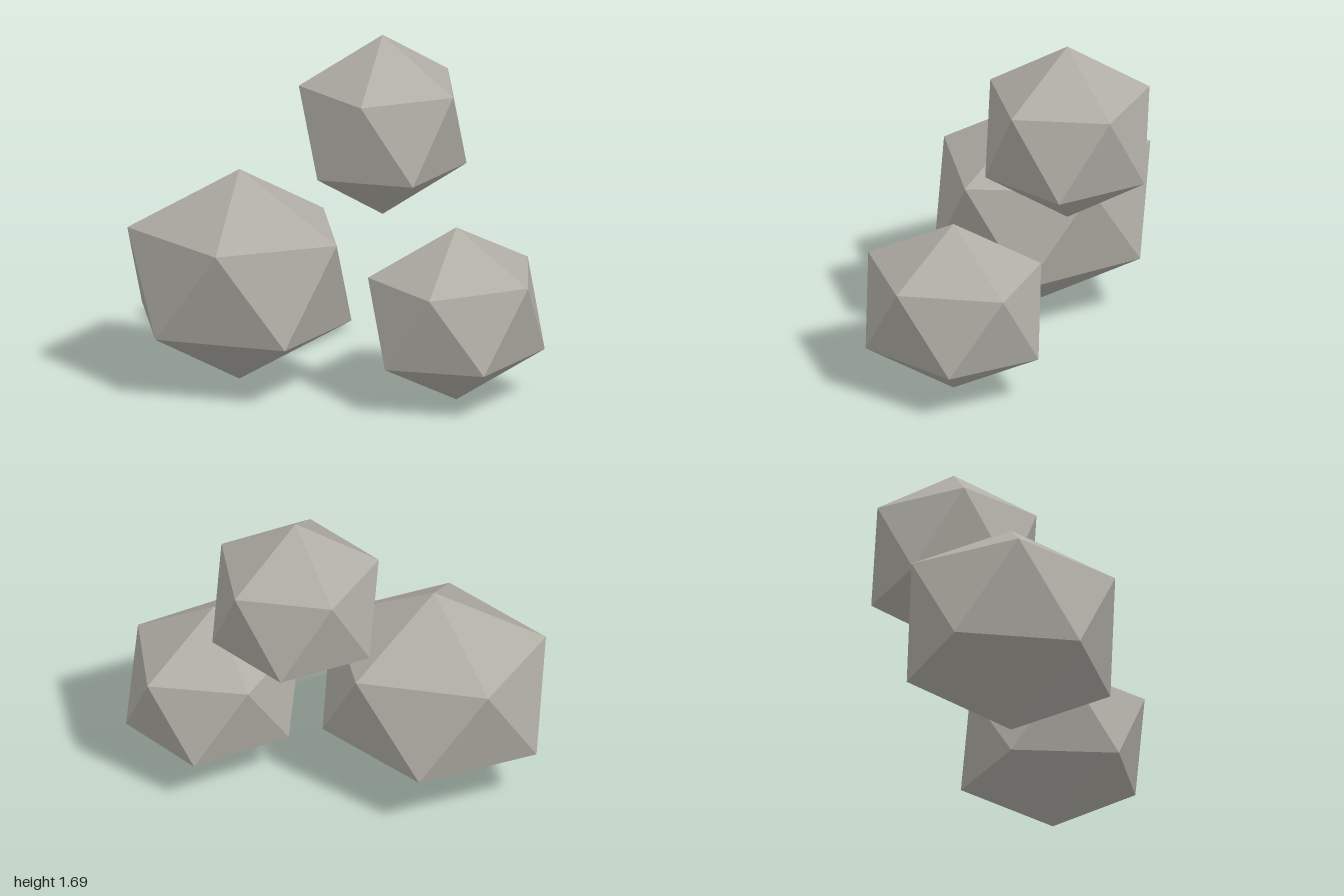
import * as THREE from 'three';

export function createModel() {
  const group = new THREE.Group();
  group.name = 'rocks';
  const stone = new THREE.MeshStandardMaterial({ color: 0xb0ada5, flatShading: true });
  stone.name = 'stone';

  // Icosahedron turned so one corner points straight up and an upper ring corner points to +x
  const geometry = new THREE.IcosahedronGeometry(1, 0);
  geometry.rotateZ(-Math.atan(2 / (1 + Math.sqrt(5))));

  // Each rock: name, centre, and stretch along x, y, z
  const rocks = [
    ['largeRock', [-0.44, 0.55, 0.238], [0.626, 0.53, 0.564]],
    ['upperRock', [0.015, 1.234, -0.332], [0.453, 0.453, 0.455]],
    ['smallRock', [0.586, 0.435, -0.104], [0.461, 0.435, 0.514]],
  ];
  for (const [name, centre, stretch] of rocks) {
    const rock = new THREE.Mesh(geometry, stone);
    rock.name = name;
    rock.position.set(...centre);
    rock.scale.set(...stretch);
    group.add(rock);
  }
  return group;
}
